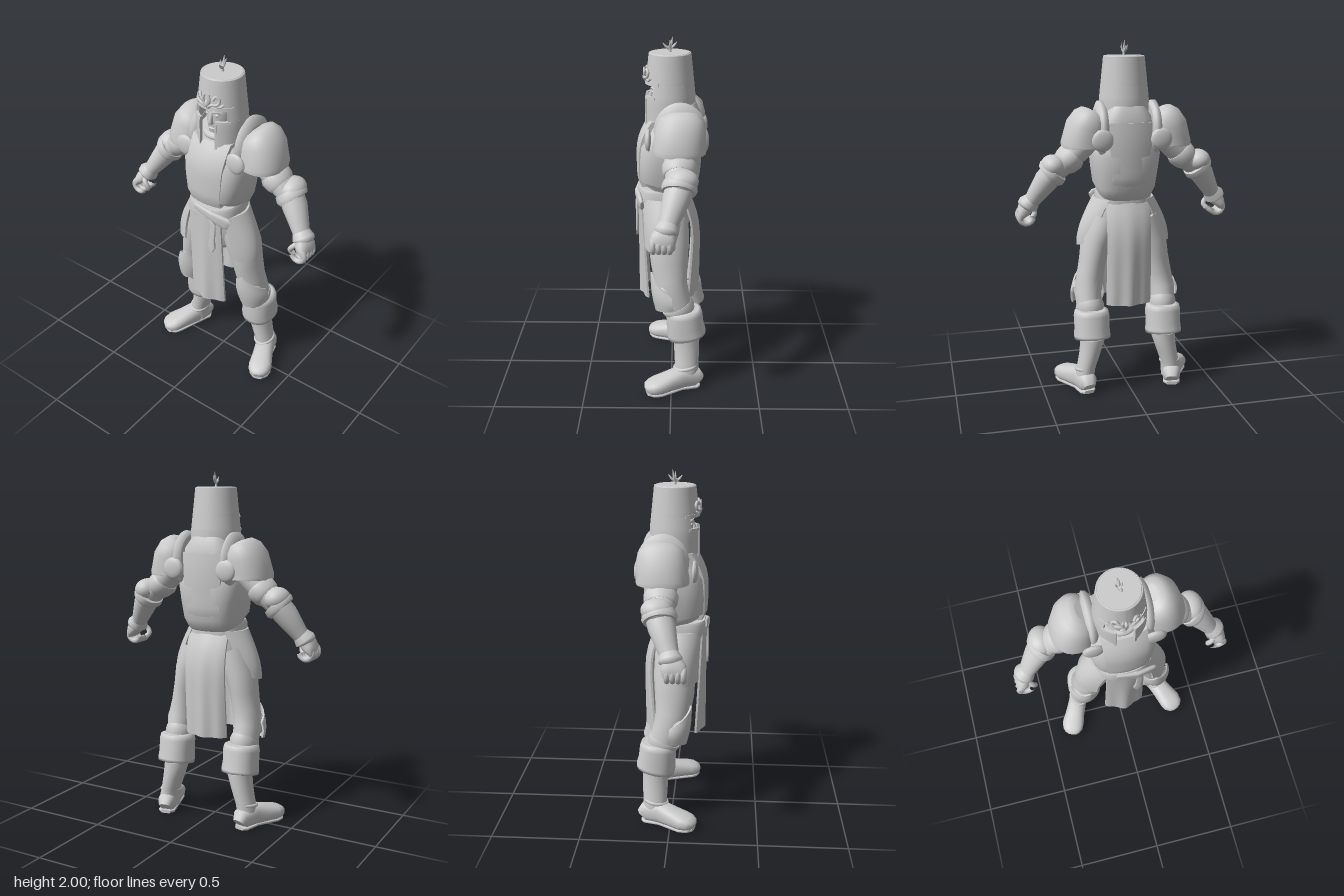
import * as THREE from 'three';

const grey = new THREE.MeshStandardMaterial({ color: 0xcccccc });
grey.name = 'plain light grey';

// Skin over oval cross-sections [x, y, z, radiusA, radiusB]; n > 2 squares them off
function loft(sections, n = 2, ref = [0, 0, 1], seg = 28) {
  const pts = sections.map(s => new THREE.Vector3(s[0], s[1], s[2]));
  const up = new THREE.Vector3(...ref), pos = [], idx = [];
  const rings = sections.map((s, i) => {
    const t = pts[Math.min(i + 1, pts.length - 1)].clone().sub(pts[Math.max(i - 1, 0)]).normalize();
    const a = t.clone().cross(up).normalize(), b = a.clone().cross(t);
    return Array.from({ length: seg }, (_, j) => {
      const q = j / seg * Math.PI * 2, c = Math.cos(q), d = Math.sin(q);
      return pts[i].clone()
        .addScaledVector(a, s[3] * Math.sign(c) * Math.abs(c) ** (2 / n))
        .addScaledVector(b, s[4] * Math.sign(d) * Math.abs(d) ** (2 / n));
    });
  });
  rings.forEach(r => r.forEach(p => pos.push(p.x, p.y, p.z)));
  for (let i = 0; i < rings.length - 1; i++) for (let j = 0; j < seg; j++) {
    const k = (j + 1) % seg, a = i * seg + j, b = i * seg + k, c = a + seg, d = b + seg;
    idx.push(a, c, b, b, c, d);
  }
  for (const end of [0, rings.length - 1]) {
    const base = pos.length / 3;
    rings[end].forEach(p => pos.push(p.x, p.y, p.z));
    pos.push(...pts[end].toArray());
    for (let j = 0; j < seg; j++) {
      const k = (j + 1) % seg;
      idx.push(base + seg, base + (end ? k : j), base + (end ? j : k));
    }
  }
  const g = new THREE.BufferGeometry();
  g.setAttribute('position', new THREE.Float32BufferAttribute(pos, 3));
  g.setIndex(idx);
  g.computeVertexNormals();
  return g;
}

// Bent sheet: u across, v up and w outward, each 0..1
function plate(fn, nu = 20, nv = 10) {
  const g = new THREE.BoxGeometry(1, 1, 1, nu, nv, 1), p = g.attributes.position;
  for (let i = 0; i < p.count; i++) p.setXYZ(i, ...fn(p.getX(i) + 0.5, p.getY(i) + 0.5, p.getZ(i) + 0.5));
  g.computeVertexNormals();
  return g;
}

const tube = (pts, r, seg = 14) => new THREE.TubeGeometry(
  new THREE.CatmullRomCurve3(pts.map(p => new THREE.Vector3(...p))), seg, r, 8);
const ball = (x, y, z, rx, ry, rz) => new THREE.SphereGeometry(1, 24, 16).scale(rx, ry, rz).translate(x, y, z);

function mirrored(geo) {
  const g = geo.clone().scale(-1, 1, 1), ix = g.index;
  for (let i = 0; i < ix.count; i += 3) {
    const a = ix.getX(i);
    ix.setX(i, ix.getX(i + 1));
    ix.setX(i + 1, a);
  }
  return g;
}

export function createModel() {
  const model = new THREE.Group();
  model.name = 'armouredKnight';
  const add = (name, geo) => {
    const m = new THREE.Mesh(geo, grey);
    m.name = name;
    model.add(m);
  };
  const pair = (name, geo) => {
    add(name + 'Left', geo);
    add(name + 'Right', mirrored(geo));
  };

  // Torso, breastplate and backplate
  add('torso', loft([[0, 1.15, .04, .145, .135], [0, 1.175, .03, .16, .15], [0, 1.2, .022, .173, .168],
    [0, 1.3, .015, .187, .175], [0, 1.39, .008, .197, .175], [0, 1.44, -.005, .18, .158], [0, 1.48, -.018, .165, .142],
    [0, 1.53, -.03, .155, .13], [0, 1.58, -.035, .145, .125], [0, 1.64, -.03, .1, .1]], 2.9));
  const panel = (base, slope, bend) => (u, v, w) => {
    const y = 1.18 + .38 * v, x = (u - .5) * (.2 + .05 * v);
    const z = base + slope * v - bend * Math.max(0, y - 1.37) ** 2 - 1.5 * x * x - .02 * (1 - v) ** 14 + .03 * w;
    return [x, y, z];
  };
  add('breastplate', plate(panel(.168, 0, 1.9)));
  add('backplate', plate(panel(.126, .024, .4)).rotateY(Math.PI));
  add('neck', loft([[0, 1.56, -.01, .075, .075], [0, 1.66, .02, .06, .065]]));
  add('collar', new THREE.TorusGeometry(.085, .022, 10, 28).rotateX(Math.PI / 2).translate(0, 1.57, .01));

  // Hips, belt and knot
  add('hips', loft([[0, 1.16, .045, .145, .135], [0, 1.02, .03, .178, .13], [0, .92, .02, .17, .115], [0, .86, .01, .1, .09]], 2.4));
  add('belt', loft([[0, 1.085, .045, .158, .145], [0, 1.1, .045, .162, .148], [0, 1.155, .045, .155, .146], [0, 1.17, .045, .147, .138]], 2.7));
  add('beltKnot', ball(.045, 1.13, .188, .035, .032, .02));
  add('beltLoop', loft([[-.06, 1.15, .183, .018, .012], [.05, 1.135, .195, .026, .014], [.14, 1.1, .172, .04, .014], [.16, 1.09, .163, .03, .01]], 3));
  add('beltTail', loft([[.03, 1.12, .196, .012, .008], [.072, 1.08, .196, .018, .008], [.066, .97, .196, .018, .008],
    [.062, .92, .196, .026, .008], [.06, .88, .196, .006, .006]], 3));

  // Tabard cloth, front and back
  add('tabardFront', plate((u, v, w) => {
    const x = (u - .5) * (.235 - .02 * v);
    return [x - .005, .5 + .6 * v, .172 + .008 * v - 3.6 * x * x * (1 - .5 * v) + .007 * Math.cos(x * 55) * (1 - v) + .012 * w];
  }));
  add('tabardBack', plate((u, v, w) => {
    const x = (u - .5) * (.26 - .01 * v), y = .51 + .6 * v;
    return [x, y, .122 + .03 * Math.sin(Math.min(1, (1.11 - y) / .25) * Math.PI / 2) - .012 * (1 - v) ** 2
      - 3 * x * x * (1 - .4 * v) - .035 * v ** 6 + .007 * Math.cos(x * 60) * (1 - v) + .012 * w];
  }).rotateY(Math.PI));

  // Hip plates
  pair('hipPlate', plate((u, v, w) => {
    const a = .66 + 1.85 * u, f = Math.sin((1 - v) * Math.PI / 2);
    const r = .165 + .098 * f + .012 * w, rz = .145 - .015 * f + .012 * w;
    const bottom = .825 + .04 * u + .1 * Math.abs(2 * u - 1) ** 4 * (u > .5 ? 1 : .25);
    return [r * Math.sin(a), bottom + (1.12 - bottom) * v, .04 + rz * Math.cos(a)];
  }, 24, 12));

  // Legs, knee guards, boots
  pair('thigh', loft([[.11, 1.0, .02, .1, .115], [.165, .87, .015, .088, .115], [.187, .76, .012, .077, .105],
    [.205, .66, .005, .077, .093], [.22, .57, -.01, .078, .092], [.22, .46, -.05, .07, .085]]));
  pair('kneeCap', ball(.226, .58, .035, .072, .085, .068));
  pair('kneePlate', plate((u, v, w) => {
    const a = (u - .5) * 3.2, peak = 1 - Math.abs(2 * u - 1), low = .485 + .03 * (1 - peak), top = .6 + .11 * peak;
    const r = .079 + .01 * Math.sin(v * Math.PI) + .01 * w, y = low + (top - low) * v;
    return [.222 - .1 * (y - .57) + r * Math.sin(a), y, (r + .015) * Math.cos(a) + .12 * (y - .6)];
  }));
  pair('kneeStrap', loft([[.216, .47, -.045, .078, .09], [.216, .49, -.04, .083, .096], [.218, .51, -.03, .078, .092]]));
  pair('bootCuff', loft([[.214, .485, -.07, .075, .085], [.214, .478, -.07, .096, .099], [.214, .45, -.074, .102, .105],
    [.214, .38, -.08, .1, .107], [.214, .335, -.087, .104, .113], [.214, .315, -.09, .103, .111], [.214, .32, -.09, .07, .08]], 2.2));
  pair('bootShaft', loft([[.215, .4, -.08, .072, .082], [.212, .31, -.088, .07, .075], [.232, .22, -.09, .059, .073],
    [.25, .15, -.09, .053, .069], [.26, .1, -.088, .056, .07], [.262, .04, -.09, .055, .07]]));
  pair('ankleFold', new THREE.TorusGeometry(.052, .01, 8, 24).rotateX(Math.PI / 2 + .2).scale(1, 1, 1.2).translate(.257, .13, -.083));
  pair('foot', loft([[.248, .04, -.165, .035, .035], [.252, .06, -.145, .052, .058], [.275, .068, -.06, .058, .066],
    [.31, .057, .015, .063, .054], [.338, .049, .075, .071, .046], [.35, .043, .112, .064, .04], [.358, .037, .136, .046, .03],
    [.362, .033, .146, .02, .015]], 2.4, [0, 1, 0]));
  pair('sole', loft([[.249, .01, -.163, .03, .01], [.254, .01, -.14, .05, .01], [.28, .01, -.05, .047, .01],
    [.338, .01, .075, .066, .01], [.35, .01, .112, .058, .01], [.359, .01, .139, .028, .01]], 4, [0, 1, 0]));

  // Shoulder armour
  pair('shoulderPlate', loft([[.19, 1.622, -.055, .03, .05], [.194, 1.615, -.055, .065, .09], [.208, 1.59, -.055, .093, .122],
    [.225, 1.54, -.05, .115, .138], [.236, 1.48, -.045, .121, .14], [.241, 1.44, -.042, .128, .145], [.241, 1.425, -.042, .126, .143]], 2.2));
  pair('shoulderRim', loft([[.125, 1.52, -.047, .13, .12], [.138, 1.52, -.047, .153, .138], [.162, 1.52, -.047, .156, .143],
    [.18, 1.52, -.047, .11, .11]]));
  for (const [name, z, s] of [['frontDisc', .128, 1], ['backDisc', -.185, -1]]) {
    pair(name, ball(.166, 1.472, z, .058, .058, .018));
    pair(name + 'Rim', new THREE.TorusGeometry(.053, .008, 8, 28).translate(.166, 1.472, z - s * .004));
  }

  // Arms, elbow guards and gauntlets
  pair('upperArm', loft([[.2, 1.5, -.05, .08, .09], [.28, 1.41, -.045, .075, .085], [.35, 1.345, -.045, .068, .078], [.42, 1.28, -.04, .06, .065]]));
  pair('armBand', loft([[.3, 1.385, -.045, .072, .085], [.315, 1.37, -.045, .082, .094], [.345, 1.345, -.045, .077, .09], [.36, 1.335, -.045, .07, .08]]));
  pair('elbowGuard', ball(.42, 1.325, -.06, .07, .064, .085));
  pair('elbowRim', loft([[.405, 1.305, -.05, .08, .09], [.425, 1.285, -.045, .088, .096], [.44, 1.27, -.042, .078, .088]]));
  pair('forearm', loft([[.41, 1.3, -.05, .065, .075], [.455, 1.24, -.03, .067, .074], [.5, 1.17, -.005, .054, .06],
    [.535, 1.115, .015, .043, .05], [.55, 1.09, .024, .042, .048]]));
  pair('gauntletCuff', loft([[.525, 1.13, .01, .044, .05], [.55, 1.1, .02, .06, .064], [.556, 1.09, .022, .058, .062], [.56, 1.08, .024, .04, .045]]));
  pair('handBack', loft([[.55, 1.1, .024, .04, .052], [.572, 1.07, .035, .04, .066], [.59, 1.045, .042, .027, .066], [.597, 1.022, .045, .014, .06]], 2.4));
  for (let i = 0; i < 4; i++) {
    pair('finger' + (i + 1), new THREE.TorusGeometry(.038, .0155, 8, 18, 4.1).rotateZ(-3).translate(.565, 1.03, .003 + i * .029));
  }
  pair('thumb', tube([[.545, 1.085, .07], [.52, 1.06, .085], [.508, 1.035, .08], [.52, 1.015, .07]], .015));
  pair('thumbTip', ball(.52, 1.015, .07, .015, .015, .015));

  // Great helm with a T-shaped opening
  const helmR = y => .116 + .025 * Math.min(1, (1.91 - y) / .24);
  const wall = (a0, a1, y0, y1, grow = 0, thick = .014) => plate((u, v, w) => {
    const a = a0 + (a1 - a0) * u, y = y0 + (y1 - y0) * v, r = helmR(y) + grow - thick * (1 - w);
    return [r * Math.sin(a), y, .01 + r * Math.cos(a)];
  }, 40, 6);
  const full = Math.PI * 2;
  add('helmCrown', wall(0, full, 1.755, 1.91));
  add('helmSides', wall(.85, full - .85, 1.685, 1.755));
  add('helmCheeks', wall(.36, full - .36, 1.525, 1.685));
  add('browBand', wall(-1.1, 1.1, 1.75, 1.768, .004, .016));
  add('helmLid', new THREE.CylinderGeometry(.106, .114, .012, 40).translate(0, 1.911, .01));
  add('helmLidRim', new THREE.TorusGeometry(.11, .006, 8, 40).rotateX(Math.PI / 2).translate(0, 1.91, .01));
  pair('cheekEdge', wall(.34, .43, 1.52, 1.69, .004, .016));
  pair('eyeEdge', wall(.36, .95, 1.678, 1.692, .004, .016));

  // Face
  add('head', loft([[0, 1.555, .055, .025, .03], [0, 1.575, .045, .048, .058], [0, 1.63, .03, .066, .078],
    [0, 1.7, .02, .078, .093], [0, 1.78, .01, .072, .09], [0, 1.82, .01, .04, .05]]));
  add('nose', loft([[0, 1.72, .106, .008, .008], [0, 1.67, .117, .013, .016], [0, 1.655, .112, .014, .012]]));
  add('mouth', ball(0, 1.622, .104, .022, .007, .008));
  add('chin', ball(0, 1.58, .09, .024, .018, .02));
  pair('eye', ball(.03, 1.705, .102, .013, .008, .008));
  pair('eyebrow', tube([[.01, 1.722, .11], [.035, 1.728, .104], [.055, 1.718, .09]], .007));

  // Curled ornament on the brow
  pair('browCurl', tube([[.006, 1.765, .145], [.03, 1.785, .15], [.06, 1.79, .135], [.068, 1.815, .127],
    [.05, 1.832, .135], [.038, 1.815, .146]], .008, 24));
  pair('browLeaf', tube([[.01, 1.78, .145], [.02, 1.81, .15], [.012, 1.838, .148]], .007));
  pair('browSprig', tube([[.04, 1.785, .138], [.07, 1.775, .125], [.085, 1.79, .112]], .007));
  add('browStud', ball(0, 1.785, .145, .012, .022, .014));

  // Small leafy finial on the lid
  add('finialStem', loft([[0, 1.905, .01, .012, .012], [0, 1.925, .01, .006, .006], [0, 1.95, .012, .009, .013]]));
  const leaves = [[0, 2.0, -.005, .005], [.016, 1.985, .01, .004], [-.02, 1.975, .005, .004], [.006, 1.968, .05, .005], [-.004, 1.972, -.028, .005]];
  leaves.forEach(([x, y, z, r], i) => add('finialLeaf' + (i + 1), loft([[0, 1.93, .012, r, r],
    [x * .8, (y + 1.93) / 2, .012 + (z - .012) * .6, r * 1.3, r * 1.5], [x, y, z, .001, .001]], 2, [0, 0, 1], 10)));
  return model;
}
